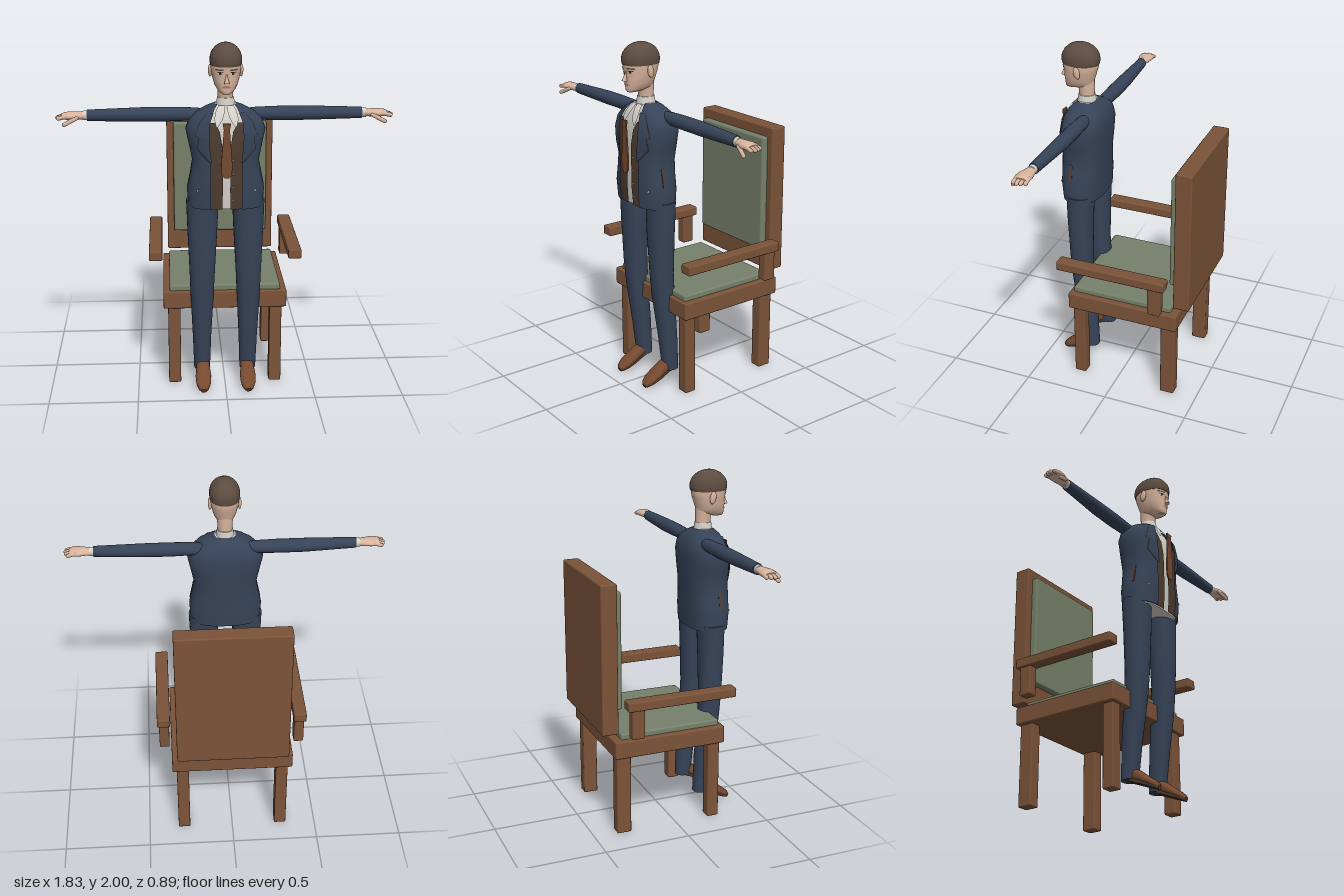
import * as THREE from 'three';
import { RoundedBoxGeometry } from 'three/addons/geometries/RoundedBoxGeometry.js';

const mat = (name, color, both) => {
  const m = new THREE.MeshStandardMaterial({ color });
  m.name = name;
  if (both) m.side = THREE.DoubleSide;
  return m;
};

// Smooth body from cross-sections [y, halfWidth, zFront, zBack, centreX, openHalfWidth].
// n is the squareness of each ring; open leaves a gap at the front.
function loft(secs, { n = 2, seg = 28, open = false } = {}) {
  const pos = [], idx = [], cols = seg + 1;
  const pow = v => Math.sign(v) * Math.abs(v) ** (2 / n);
  const ring = ([y, rx, zf, zb, cx = 0, w = 0]) => {
    const a0 = open ? Math.asin(Math.min(1, w / rx) ** (n / 2)) : 0;
    for (let j = 0; j < cols; j++) {
      const a = a0 + (j / seg) * (2 * Math.PI - 2 * a0);
      pos.push(cx + rx * pow(Math.sin(a)), y, (zf + zb) / 2 + (zf - zb) / 2 * pow(Math.cos(a)));
    }
  };
  secs.forEach(ring);
  const col = j => (open ? j : j % seg);
  for (let i = 0; i < secs.length - 1; i++) for (let j = 0; j < seg; j++) {
    const a = i * cols + col(j), b = i * cols + col(j + 1);
    idx.push(a, b, b + cols, a, b + cols, a + cols);
  }
  // end caps
  if (!open) [secs[0], secs[secs.length - 1]].forEach((s, k) => {
    const base = pos.length / 3;
    ring(s);
    const c = pos.length / 3;
    pos.push(s[4] || 0, s[0], (s[2] + s[3]) / 2);
    for (let j = 0; j < seg; j++) k ? idx.push(c, base + j, base + j + 1) : idx.push(c, base + j + 1, base + j);
  });
  return finish(pos, idx);
}

function finish(pos, idx) {
  const g = new THREE.BufferGeometry();
  g.setAttribute('position', new THREE.Float32BufferAttribute(pos, 3));
  g.setIndex(idx);
  g.computeVertexNormals();
  return g;
}

// Front surface height of a loft at (x, y)
function frontZ(secs, n, x, y) {
  let i = 0;
  while (i < secs.length - 2 && secs[i + 1][0] < y) i++;
  const A = secs[i], B = secs[i + 1], t = THREE.MathUtils.clamp((y - A[0]) / (B[0] - A[0]), 0, 1);
  const [rx, zf, zb] = [1, 2, 3].map(k => A[k] + (B[k] - A[k]) * t);
  return (zf + zb) / 2 + (zf - zb) / 2 * Math.max(0, 1 - Math.abs(x / rx) ** n) ** (1 / n);
}

// Thin patch lying on the front of a loft, from rows [y, xInner, xOuter]
function patch(secs, n, rows, s, lift = 0.004, cols = 5) {
  const pos = [], idx = [];
  rows.forEach(([y, a, b]) => {
    const lo = Math.min(s * a, s * b), hi = Math.max(s * a, s * b);
    for (let j = 0; j <= cols; j++) {
      const x = lo + (hi - lo) * j / cols;
      pos.push(x, y, frontZ(secs, n, x, y) + lift);
    }
  });
  for (let i = 0; i < rows.length - 1; i++) for (let j = 0; j < cols; j++) {
    const a = i * (cols + 1) + j, c = a + cols + 1;
    idx.push(a, a + 1, c + 1, a, c + 1, c);
  }
  return finish(pos, idx);
}

export function createModel() {
  const root = new THREE.Group();
  const wood = mat('wood', 0x7b5339), fabric = mat('green fabric', 0x76806a);
  const suit = mat('navy suit', 0x364358, true), vest = mat('brown waistcoat', 0x4e3c30, true);
  const shirt = mat('off-white shirt', 0xd2d0c8, true), skin = mat('skin', 0xd8b49d);
  const hair = mat('brown hair', 0x5c4c40), leather = mat('brown leather', 0x75492f);
  const dark = mat('dark detail', 0x2c2422, true), lip = mat('lip', 0xa87868, true);
  const add = (name, geo, m, parent = root) => {
    const o = new THREE.Mesh(geo, m);
    o.name = name;
    parent.add(o);
    return o;
  };
  const sides = [1, -1];

  // ---- Chair ----
  const chair = new THREE.Group();
  chair.name = 'chair';
  root.add(chair);
  const block = (name, m, x0, x1, y0, y1, z0, z1, r = 0.008) =>
    add(name, new RoundedBoxGeometry(x1 - x0, y1 - y0, z1 - z0, 2, r), m, chair)
      .position.set((x0 + x1) / 2, (y0 + y1) / 2, (z0 + z1) / 2);
  block('seatFrame', wood, -0.35, 0.35, 0.475, 0.577, -0.38, 0.287);
  block('seatCushion', fabric, -0.315, 0.315, 0.565, 0.61, -0.335, 0.265, 0.012);
  block('backPanel', wood, -0.32, 0.32, 0.615, 1.477, -0.445, -0.35);
  block('backCushion', fabric, -0.28, 0.28, 0.742, 1.42, -0.36, -0.312, 0.012);
  for (const s of sides) {
    const pair = (name, a, b, ...r) => block(name, wood, Math.min(s * a, s * b), Math.max(s * a, s * b), ...r);
    pair('frontLeg', 0.255, 0.325, 0.005, 0.48, 0.198, 0.268);
    pair('backLeg', 0.255, 0.325, 0.005, 0.48, -0.365, -0.28);
    pair('armRest', 0.353, 0.427, 0.777, 0.832, -0.33, 0.32);
    pair('armPost', 0.36, 0.417, 0.608, 0.785, -0.305, -0.23);
  }

  // ---- Torso: open jacket, waistcoat and shirt ----
  const N = 2.5;
  const coat = [
    [1.10, 0.205, 0.413, 0.185, 0, 0.085], [1.20, 0.212, 0.42, 0.18, 0, 0.085], [1.28, 0.195, 0.42, 0.178, 0, 0.085],
    [1.36, 0.182, 0.42, 0.173, 0, 0.085], [1.45, 0.2, 0.42, 0.167, 0, 0.09], [1.53, 0.217, 0.415, 0.165, 0, 0.095],
    [1.58, 0.198, 0.405, 0.17, 0, 0.09], [1.62, 0.16, 0.388, 0.188, 0, 0.075], [1.65, 0.105, 0.365, 0.215, 0, 0.06],
    [1.668, 0.06, 0.345, 0.24, 0, 0.045]];
  const gaps = [0.022, 0.02, 0.02, 0.02, 0.022, 0.035, 0.06];
  const inner = (k, d) => coat.map(([y, rx, zf, zb], i) => [y, rx * k, zf - d, zb + d, 0, gaps[i]]);
  const vestSecs = inner(0.96, 0.008).slice(0, 7);
  add('jacket', loft(coat, { n: N, seg: 48, open: true }), suit);
  add('waistcoat', loft(vestSecs, { n: N, seg: 48, open: true }), vest);
  add('shirt', loft(inner(0.92, 0.016), { n: N, seg: 40 }), shirt);
  for (const s of sides) {
    add('lapel', patch(coat, N, [[1.37, 0.08, 0.088], [1.44, 0.088, 0.155], [1.50, 0.092, 0.145], [1.51, 0.092, 0.165],
      [1.58, 0.088, 0.14], [1.63, 0.068, 0.1]], s, 0.008), suit);
    add('lapelEdge', patch(coat, N, [[1.365, 0.08, 0.092], [1.436, 0.088, 0.16], [1.50, 0.092, 0.15], [1.508, 0.092, 0.17],
      [1.58, 0.088, 0.144], [1.63, 0.068, 0.102]], s, 0.005), dark);
    add('shirtCollarWing', patch(coat, N, [[1.56, 0.045, 0.055], [1.60, 0.02, 0.065], [1.64, 0.006, 0.055],
      [1.665, 0.004, 0.04]], s, 0.004), shirt);
    const slit = add('sidePocket', new THREE.BoxGeometry(0.008, 0.11, 0.018), vest);
    slit.position.set(s * 0.193, 1.28, 0.32);
    slit.rotation.z = s * 0.2;
    add('jacketButton', new THREE.SphereGeometry(0.006, 8, 6), shirt).position.set(s * 0.155, 1.205, frontZ(coat, N, 0.155, 1.205));
  }
  for (let i = 0; i < 4; i++) {
    const y = 1.15 + i * 0.075;
    add('waistcoatButton', new THREE.SphereGeometry(0.005, 8, 6), shirt).position.set(0.036, y, frontZ(vestSecs, N, 0.036, y));
  }

  // Tie with a narrow knot and a rounded end
  const tie = new THREE.Shape([[-0.022, 1.585], [-0.016, 1.55], [-0.03, 1.36], [-0.028, 1.31], [-0.012, 1.285],
    [0.012, 1.285], [0.028, 1.31], [0.03, 1.36], [0.016, 1.55], [0.022, 1.585]].map(p => new THREE.Vector2(...p)));
  add('tie', new THREE.ExtrudeGeometry(tie, { depth: 0.009, bevelEnabled: false }), leather).position.z = 0.432;

  // ---- Neck and head ----
  add('collar', loft([[1.64, 0.056, 0.352, 0.238], [1.68, 0.049, 0.346, 0.243], [1.702, 0.045, 0.342, 0.247]]), shirt);
  add('neck', loft([[1.68, 0.041, 0.336, 0.252], [1.73, 0.042, 0.34, 0.25], [1.80, 0.05, 0.36, 0.25]]), skin);
  const H = 2.2;
  const headSecs = [[1.735, 0.022, 0.413, 0.35], [1.745, 0.038, 0.419, 0.30], [1.757, 0.05, 0.419, 0.258], [1.78, 0.062, 0.42, 0.252],
    [1.81, 0.071, 0.422, 0.243], [1.845, 0.078, 0.42, 0.232], [1.87, 0.081, 0.427, 0.226], [1.92, 0.083, 0.428, 0.224]];
  add('head', loft(headSecs, { n: H, seg: 36 }), skin);
  const dome = [[1.883, 0.083, 0.431, 0.221], [1.90, 0.0865, 0.435, 0.217]];
  for (let i = 1; i <= 8; i++) {
    const a = i / 8 * Math.PI / 2, c = Math.max(0.01, Math.cos(a));
    dome.push([1.908 + 0.092 * Math.sin(a), 0.0865 * c, 0.326 + 0.109 * c, 0.326 - 0.109 * c]);
  }
  add('hair', loft(dome, { n: H, seg: 36 }), hair);
  const nose = add('nose', new THREE.ConeGeometry(0.015, 0.06, 10), skin);
  nose.position.set(0, 1.826, 0.427);
  nose.rotation.x = -0.2;
  for (const s of sides) {
    const ear = add('ear', new THREE.SphereGeometry(1, 14, 10), skin);
    ear.scale.set(0.011, 0.036, 0.019);
    ear.position.set(s * 0.083, 1.85, 0.318);
    ear.rotation.x = 0.15;
    add('eyebrow', patch(headSecs, H, [[1.864, 0.016, 0.058], [1.872, 0.018, 0.06]], s), hair);
    add('eyeWhite', patch(headSecs, H, [[1.842, 0.024, 0.044], [1.848, 0.018, 0.05], [1.854, 0.022, 0.046]], s, 0.002), shirt);
    add('iris', patch(headSecs, H, [[1.842, 0.028, 0.04], [1.855, 0.028, 0.04]], s, 0.004), dark);
    add('eyeLid', patch(headSecs, H, [[1.853, 0.017, 0.052], [1.857, 0.02, 0.048]], s, 0.004), dark);
    add('lips', patch(headSecs, H, [[1.77, 0, 0.014], [1.777, 0, 0.024], [1.784, 0, 0.01]], s, 0.003), lip);
  }

  // ---- Arms: built along y, then turned sideways ----
  const along = (name, pts, r, m, parent) => { // rounded finger through points
    const d = pts[1].clone().sub(pts[0]);
    const o = add(name, new THREE.CapsuleGeometry(r, d.length(), 4, 8), m, parent);
    o.position.copy(pts[0]).addScaledVector(d, 0.5);
    o.quaternion.setFromUnitVectors(new THREE.Vector3(0, 1, 0), d.normalize());
  };
  const V = (x, y, z) => new THREE.Vector3(x, y, z);
  for (const s of sides) {
    const arm = new THREE.Group();
    arm.name = s > 0 ? 'leftArm' : 'rightArm';
    root.add(arm);
    const limb = (name, secs, m) => {
      const o = add(name, loft(secs, { seg: 20 }), m, arm);
      o.rotation.z = -s * Math.PI / 2;
      o.position.y = 1.6;
    };
    limb('sleeve', [[0.12, 0.03, 0.288, 0.222], [0.17, 0.035, 0.293, 0.215], [0.3, 0.039, 0.296, 0.212], [0.45, 0.039, 0.295, 0.214],
      [0.6, 0.035, 0.293, 0.224], [0.745, 0.031, 0.291, 0.233]], suit);
    limb('shirtCuff', [[0.73, 0.026, 0.288, 0.238], [0.768, 0.025, 0.288, 0.238]], shirt);
    limb('palm', [[0.75, 0.02, 0.285, 0.24], [0.79, 0.021, 0.3, 0.232], [0.83, 0.022, 0.312, 0.225], [0.865, 0.019, 0.31, 0.224],
      [0.88, 0.012, 0.3, 0.234]], skin);
    for (let i = 0; i < 4; i++) {
      const z = 0.236 + i * 0.021, tip = [0.888, 0.899, 0.903, 0.897][i];
      along('finger', [V(s * 0.85, 1.603, z), V(s * tip, 1.592, z)], 0.0115, skin, arm);
    }
    along('thumb', [V(s * 0.8, 1.593, 0.298), V(s * 0.865, 1.562, 0.318)], 0.0115, skin, arm);
  }

  // ---- Legs and toe-down shoes ----
  const shoe = [[0, 0.022, 0, -0.045], [0.012, 0.034, 0, -0.06], [0.05, 0.037, 0, -0.075], [0.09, 0.04, 0, -0.07],
    [0.14, 0.045, 0, -0.055], [0.19, 0.042, 0, -0.043], [0.22, 0.03, 0, -0.032], [0.236, 0.014, 0, -0.02]];
  for (const s of sides) {
    add('trouserLeg', loft([[0.09, 0.046, 0.285, 0.192, s * 0.132], [0.3, 0.053, 0.31, 0.2, s * 0.132],
      [0.55, 0.065, 0.345, 0.22, s * 0.131], [0.7, 0.071, 0.357, 0.228, s * 0.13], [0.95, 0.083, 0.367, 0.222, s * 0.128],
      [1.13, 0.09, 0.37, 0.215, s * 0.127]], { n: 2.2 }), suit);
    const foot = new THREE.Group();
    foot.name = 'foot';
    foot.position.set(s * 0.128, 0.103, 0.2);
    foot.rotation.x = Math.PI / 2 + 0.38;
    root.add(foot);
    add('shoe', loft(shoe, { n: 2.3, seg: 20 }), leather, foot);
    add('sole', loft(shoe.map(([l, r]) => [l, r * 0.92, 0.004, -0.02]), { n: 5, seg: 20 }), vest, foot);
  }
  return root;
}
